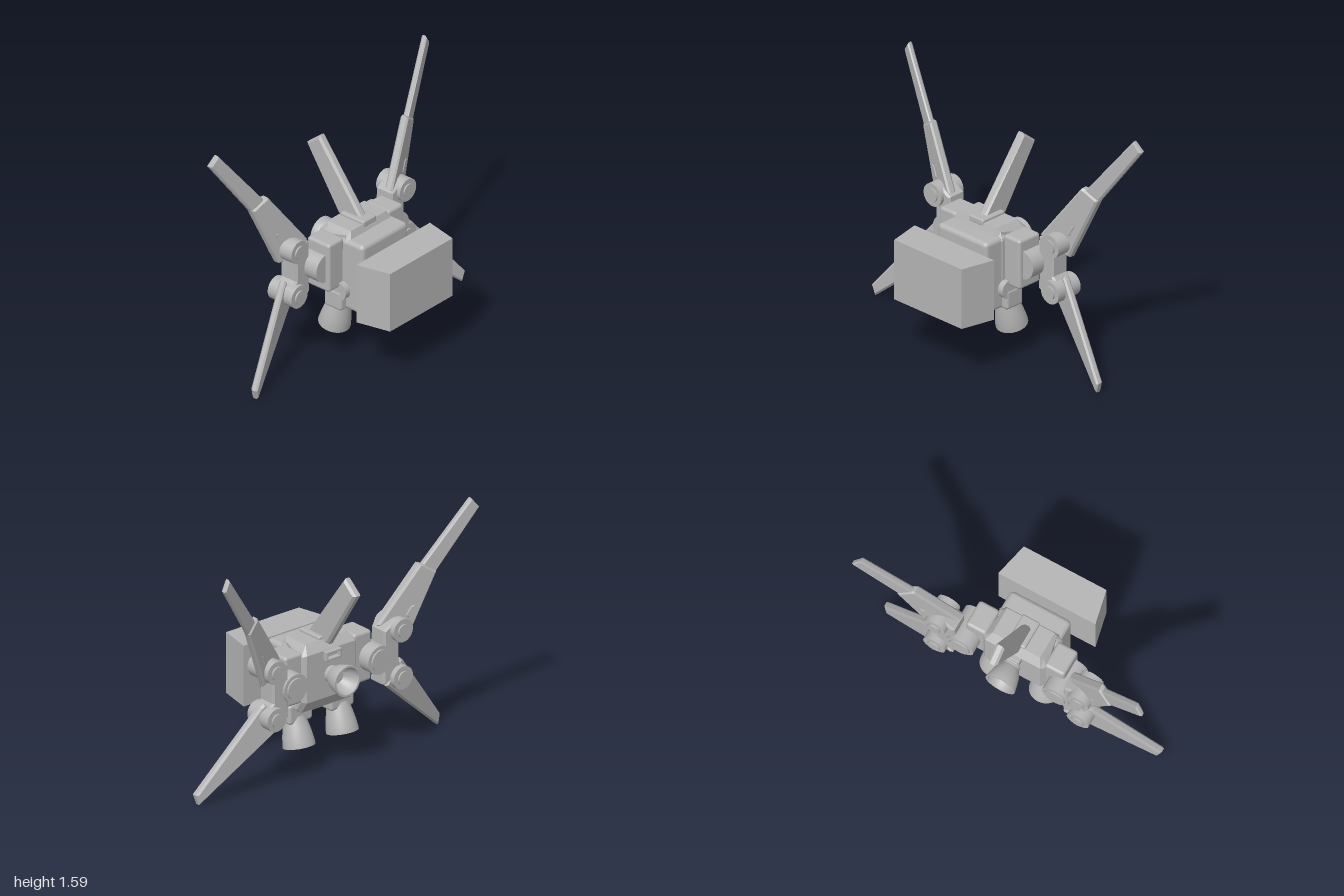
import * as THREE from 'three';
import { toCreasedNormals } from 'three/addons/utils/BufferGeometryUtils.js';
import { RoundedBoxGeometry } from 'three/addons/geometries/RoundedBoxGeometry.js';

const grey = new THREE.MeshStandardMaterial({ color: 0xb4b4b4, side: THREE.DoubleSide });
grey.name = 'plain grey';

function add(parent, name, geometry, x = 0, y = 0, z = 0) {
  const mesh = new THREE.Mesh(geometry, grey);
  mesh.name = name;
  mesh.position.set(x, y, z);
  parent.add(mesh);
  return mesh;
}

// Rounded block given by its limits on each axis
function block(parent, name, [x0, x1], [y0, y1], [z0, z1], r = 0.015) {
  return add(parent, name, new RoundedBoxGeometry(Math.abs(x1 - x0), y1 - y0, z1 - z0, 2, r),
    (x0 + x1) / 2, (y0 + y1) / 2, (z0 + z1) / 2);
}

// Polygon extruded symmetrically about z = 0, with a bevel kept inside the outline
function slab(points, thickness, bevel) {
  const shape = new THREE.Shape(points.map(([x, y]) => new THREE.Vector2(x, y)));
  const geo = new THREE.ExtrudeGeometry(shape, {
    depth: thickness - 2 * bevel, bevelEnabled: bevel > 0, bevelThickness: bevel,
    bevelSize: bevel, bevelOffset: -bevel, bevelSegments: 1,
  });
  return geo.translate(0, 0, -thickness / 2 + bevel);
}

// Profile given as [z, y], extruded across x
const across = (points, width, bevel) =>
  slab(points.map(([z, y]) => [-z, y]), width, bevel).rotateY(Math.PI / 2);

// Wing plate outlined in x-y, swept in depth along x
function wing(parent, name, s, points, thickness, bevel, depthAt) {
  const geo = slab(points.map(([x, y]) => [s * x, y]), thickness, bevel);
  const p = geo.attributes.position;
  for (let i = 0; i < p.count; i++) p.setZ(i, p.getZ(i) + depthAt(Math.abs(p.getX(i))));
  geo.computeVertexNormals();
  add(parent, name, geo);
}

// Cylinder along z between two depths
function pin(parent, name, x, y, r, z0, z1) {
  const geo = new THREE.CylinderGeometry(r, r, z1 - z0, 32).rotateX(Math.PI / 2);
  add(parent, name, geo, x, y, (z0 + z1) / 2);
}

// Hollow bell opening towards -y, with its throat at the origin
function bell(throat, mouth, length) {
  const outer = [[mouth, -length], [mouth, -length * 0.92], [mouth * 0.93, -length * 0.65],
    [mouth * 0.82, -length * 0.35], [throat, 0], [0, 0]];
  const inner = [[0, -length * 0.25], [throat * 0.8, -length * 0.25],
    [mouth * 0.78, -length * 0.6], [mouth * 0.88, -length]];
  const pts = [...inner, ...outer].map(([x, y]) => new THREE.Vector2(x, y));
  return toCreasedNormals(new THREE.LatheGeometry(pts, 32), 0.6);
}

export function createModel() {
  const model = new THREE.Group();
  model.name = 'winged backpack';

  // Floating mounting block at the front
  const plan = [[-0.335, -0.225], [0.335, -0.225], [0.285, -0.45], [-0.285, -0.45]];
  add(model, 'frontBlock', slab(plan, 0.4, 0).rotateX(-Math.PI / 2), 0, 0.58, 0);

  // Body: front slab and rear housing narrowing to the top
  block(model, 'bodyFront', [-0.21, 0.21], [0.34, 0.82], [-0.03, 0.165], 0.03);
  const rear = across([[0.055, 0.42], [0.055, 0.8], [0.03, 0.865], [-0.15, 0.865],
    [-0.195, 0.81], [-0.195, 0.5], [-0.14, 0.42]], 0.43, 0.025);
  const p = rear.attributes.position;
  for (let i = 0; i < p.count; i++) {
    if (p.getY(i) > 0.825) p.setX(i, p.getX(i) * 0.86);
  }
  rear.computeVertexNormals();
  add(model, 'bodyRear', rear);

  // Raked fin on its mount
  block(model, 'finMount', [-0.06, 0.06], [0.84, 0.885], [-0.15, 0.04], 0.012);
  add(model, 'fin', across([[0, 0.865], [-0.345, 1.325], [-0.45, 1.24], [-0.19, 0.84]], 0.06, 0.015));

  // Frame around the slot on the back
  for (const y of [0.755, 0.8]) block(model, 'slotBar', [-0.06, 0.06], [y - 0.008, y + 0.008], [-0.225, -0.18], 0.004);
  for (const x of [-0.052, 0.052]) block(model, 'slotEnd', [x - 0.008, x + 0.008], [0.75, 0.805], [-0.225, -0.18], 0.004);

  // Rear thruster
  pin(model, 'rearThrusterCollar', 0, 0.645, 0.055, -0.25, -0.18);
  add(model, 'rearThruster', bell(0.058, 0.1, 0.13), 0, 0.645, -0.22).rotation.x = Math.PI / 2;

  for (const s of [1, -1]) {
    const side = new THREE.Group();
    side.name = s > 0 ? 'leftSide' : 'rightSide';
    model.add(side);

    // Lower thruster under its housing
    block(side, 'thrusterHousing', [s * 0.07, s * 0.255], [0.34, 0.47], [-0.11, 0.03], 0.02);
    add(side, 'thrusterPivot', new THREE.CylinderGeometry(0.06, 0.06, 0.1, 24).rotateZ(Math.PI / 2), s * 0.2, 0.475, 0.005);
    add(side, 'lowerThruster', bell(0.065, 0.1, 0.19), s * 0.17, 0.37, -0.05).rotation.x = 0.25;

    // Shoulder block and inner hinge
    block(side, 'shoulderBlock', [s * 0.2, s * 0.34], [0.5, 0.83], [-0.17, 0.01], 0.02);
    pin(side, 'innerHinge', s * 0.33, 0.66, 0.093, -0.26, -0.02);
    pin(side, 'innerHingeCap', s * 0.33, 0.66, 0.07, -0.272, -0.25);

    // Bracket carrying both wing joints
    const bracket = [[0.37, 0.48], [0.47, 0.44], [0.53, 0.48], [0.53, 0.56], [0.495, 0.6],
      [0.495, 0.73], [0.53, 0.77], [0.53, 0.86], [0.46, 0.88], [0.375, 0.83]];
    add(side, 'wingBracket', slab(bracket.map(([x, y]) => [s * x, y]), 0.13, 0.012), 0, 0, -0.18);

    for (const [name, y] of [['upperJoint', 0.815], ['lowerJoint', 0.505]]) {
      pin(side, name, s * 0.495, y, 0.075, -0.28, -0.09);
      pin(side, name + 'Cap', s * 0.495, y, 0.043, -0.292, -0.08);
    }

    // Upper wing: thick root panel and thinner blade
    const upperDepth = (x) => -0.155 - 0.37 * (x - 0.4);
    wing(side, 'upperWingRoot', s, [[0.38, 0.845], [0.635, 1.21], [0.655, 1.205], [0.738, 1.145],
      [0.563, 0.73], [0.535, 0.735]], 0.06, 0.012, upperDepth);
    wing(side, 'upperWingBlade', s, [[0.56, 1.07], [0.95, 1.59], [1, 1.525], [0.69, 1.07]], 0.04, 0.01, upperDepth);

    // Small step on the face of the root panel
    wing(side, 'wingStep', s, [[0.575, 0.94], [0.6, 0.95], [0.565, 0.875], [0.545, 0.885]], 0.07, 0.004, upperDepth);

    // Lower wing
    wing(side, 'lowerWing', s, [[0.38, 0.475], [0.535, 0.6], [0.56, 0.58], [0.957, 0.07], [0.935, 0.003]],
      0.05, 0.012, (x) => -0.19 + 0.32 * (x - 0.53));
  }
  return model;
}
